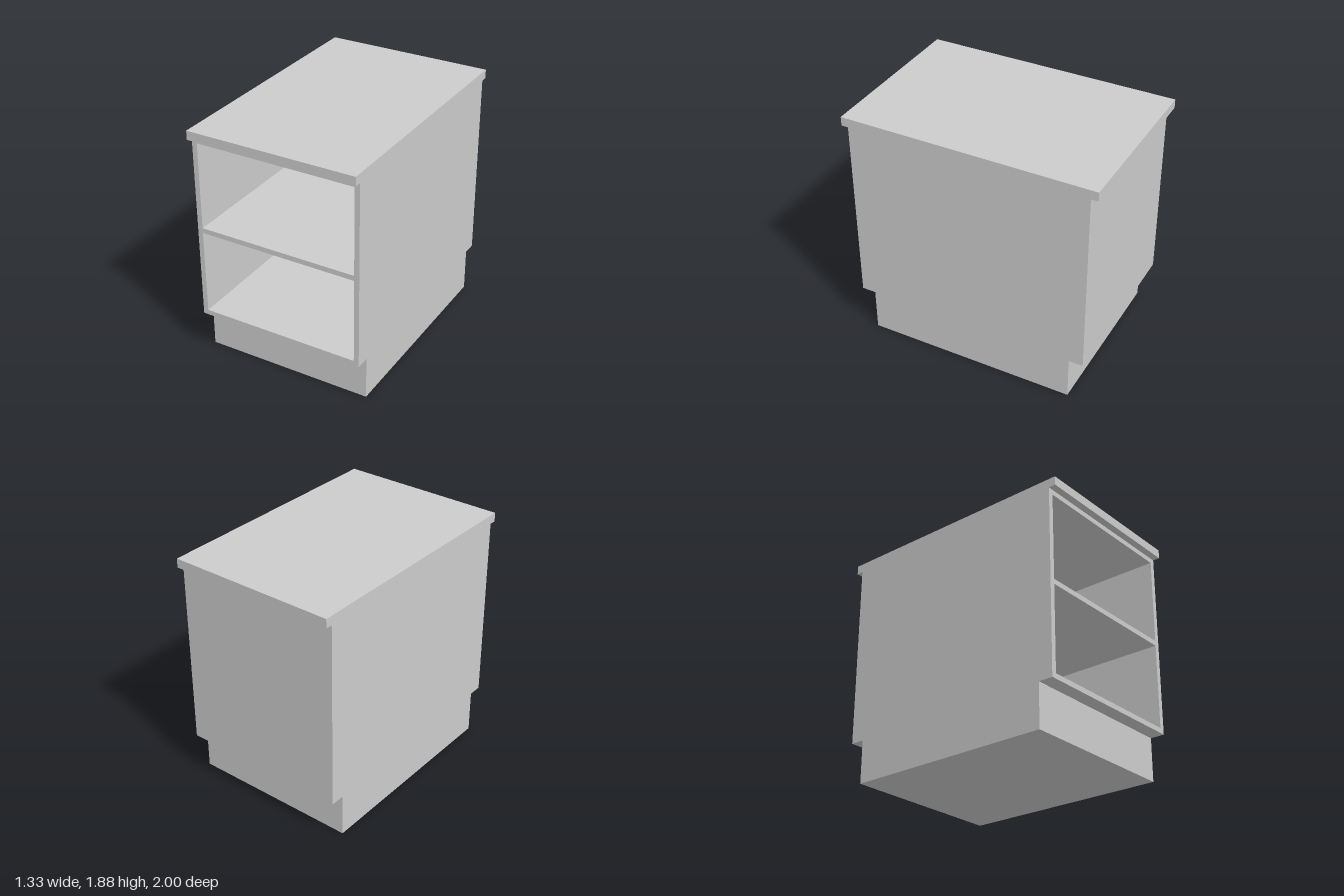
import * as THREE from 'three';

const WIDTH = 1.333, BODY_DEPTH = 1.89, BOARD = 0.04;
const BODY_BOTTOM = 0.34, BODY_TOP = 1.81, HEIGHT = 1.88;
const INNER_WIDTH = WIDTH - 2 * BOARD;
const BACK = -BODY_DEPTH / 2;

export function createModel() {
  const cabinet = new THREE.Group();
  cabinet.name = 'cabinet';
  const material = new THREE.MeshStandardMaterial({ color: 0xcccccc, flatShading: true });

  // Adds a board spanning y0..y1 and z0..z1, centred on x
  function board(name, width, y0, y1, z0, z1, x = 0) {
    const mesh = new THREE.Mesh(new THREE.BoxGeometry(width, y1 - y0, z1 - z0), material);
    mesh.position.set(x, (y0 + y1) / 2, (z0 + z1) / 2);
    mesh.name = name;
    cabinet.add(mesh);
  }

  // Recessed plinth and overhanging top
  board('plinth', WIDTH, 0, BODY_BOTTOM, -0.833, 0.833);
  board('countertop', WIDTH, BODY_TOP, HEIGHT, -1, 1);

  // Open-fronted carcass
  for (const side of [-1, 1]) {
    board(side > 0 ? 'leftSidePanel' : 'rightSidePanel', BOARD, BODY_BOTTOM, BODY_TOP,
      BACK, -BACK, side * (WIDTH - BOARD) / 2);
  }
  board('backPanel', INNER_WIDTH, BODY_BOTTOM, BODY_TOP, BACK, BACK + BOARD);

  // Horizontal boards between the sides, flush with the front
  const levels = { floorPanel: BODY_BOTTOM, shelf: 1.05, ceilingPanel: BODY_TOP - BOARD };
  for (const [name, y] of Object.entries(levels)) {
    board(name, INNER_WIDTH, y, y + BOARD, BACK + BOARD, -BACK);
  }
  return cabinet;
}
